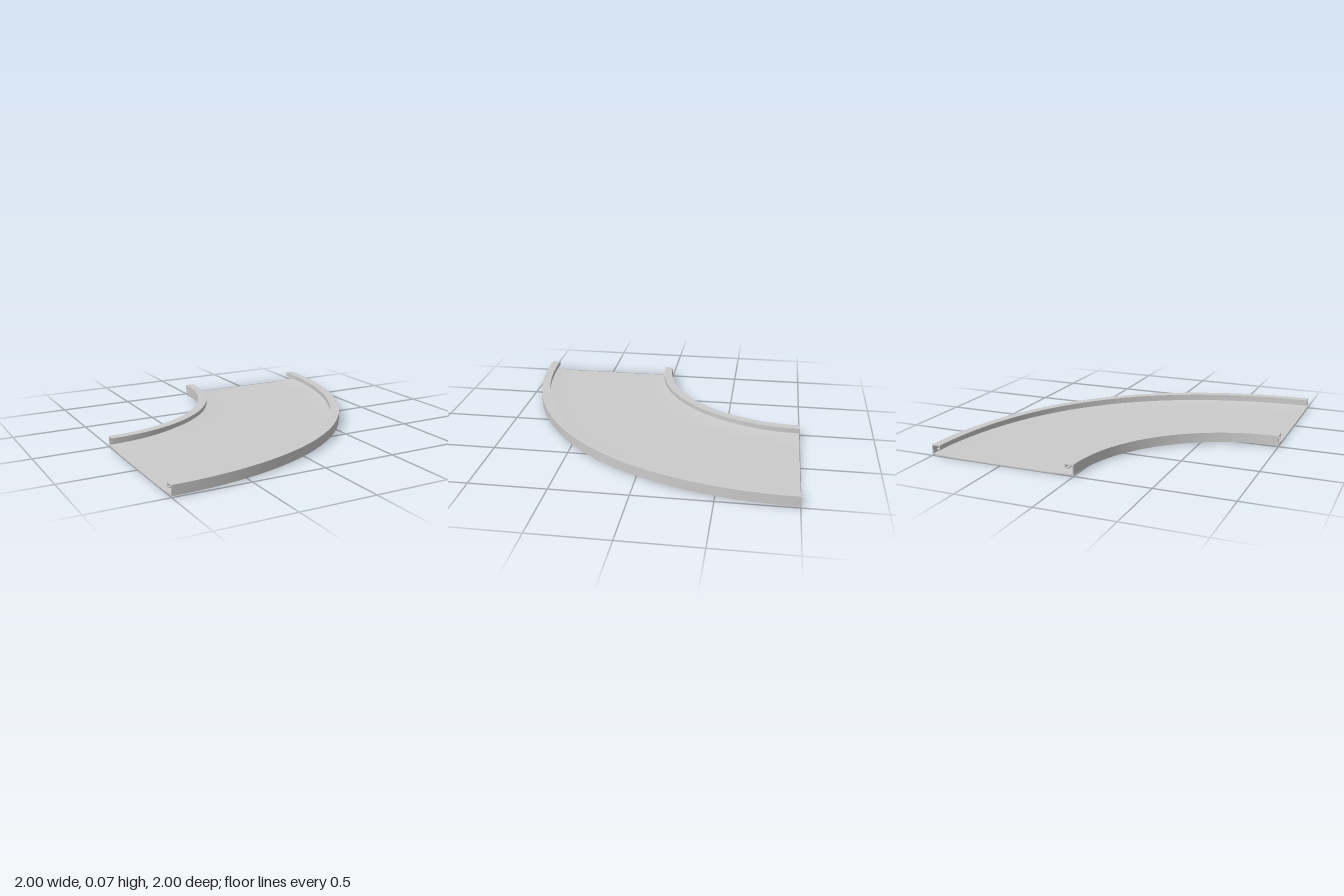
import * as THREE from 'three';
import { toCreasedNormals } from 'three/addons/utils/BufferGeometryUtils.js';

const material = new THREE.MeshStandardMaterial({ color: 0xcccccc, side: THREE.DoubleSide });

// Sweep a (radius, height) profile through a quarter turn about the corner (-1, -1).
// The outer side bulges slightly in the middle of the turn.
function sweep(name, points) {
  const shape = new THREE.Shape(points.map(([r, y]) => new THREE.Vector2(r, y)));
  const geometry = new THREE.ExtrudeGeometry(shape, { depth: 1, steps: 64, bevelEnabled: false });
  const p = geometry.attributes.position;
  for (let i = 0; i < p.count; i++) {
    const angle = p.getZ(i) * Math.PI / 2;
    const r = p.getX(i) + 0.045 * (p.getX(i) - 1) * Math.sin(2 * angle) ** 2;
    p.setXYZ(i, -1 + r * Math.cos(angle), p.getY(i), -1 + r * Math.sin(angle));
  }
  const mesh = new THREE.Mesh(toCreasedNormals(geometry, Math.PI / 6), material);
  mesh.name = name;
  return mesh;
}

export function createModel() {
  const group = new THREE.Group();
  group.name = 'curvedChannel';

  // Thin floor plate, flat in the middle and rising gently to both walls
  const bottom = [];
  const rise = 0.2, steps = 6;
  for (let i = 0; i <= steps; i++) {
    const t = i / steps;
    bottom.push([1 + rise * t, 0.012 * (1 - t) ** 2]);
  }
  for (let i = steps; i >= 0; i--) bottom.push([3 - bottom[i][0], bottom[i][1]]);
  const top = bottom.map(([r, y]) => [r, y + 0.005]).reverse();
  group.add(sweep('floor', [...bottom, ...top]));

  // Rail: upright wall, top flange, and a hooked lip turned back toward the wall
  const rail = [
    [1, 0.008], [1.008, 0.008], [1.008, 0.066], [1.053, 0.066], [1.053, 0.05],
    [1.036, 0.05], [1.036, 0.043], [1.06, 0.043], [1.06, 0.073], [1, 0.073],
  ];
  group.add(sweep('innerRail', rail));
  group.add(sweep('outerRail', rail.map(([r, y]) => [3 - r, y])));

  return group;
}
